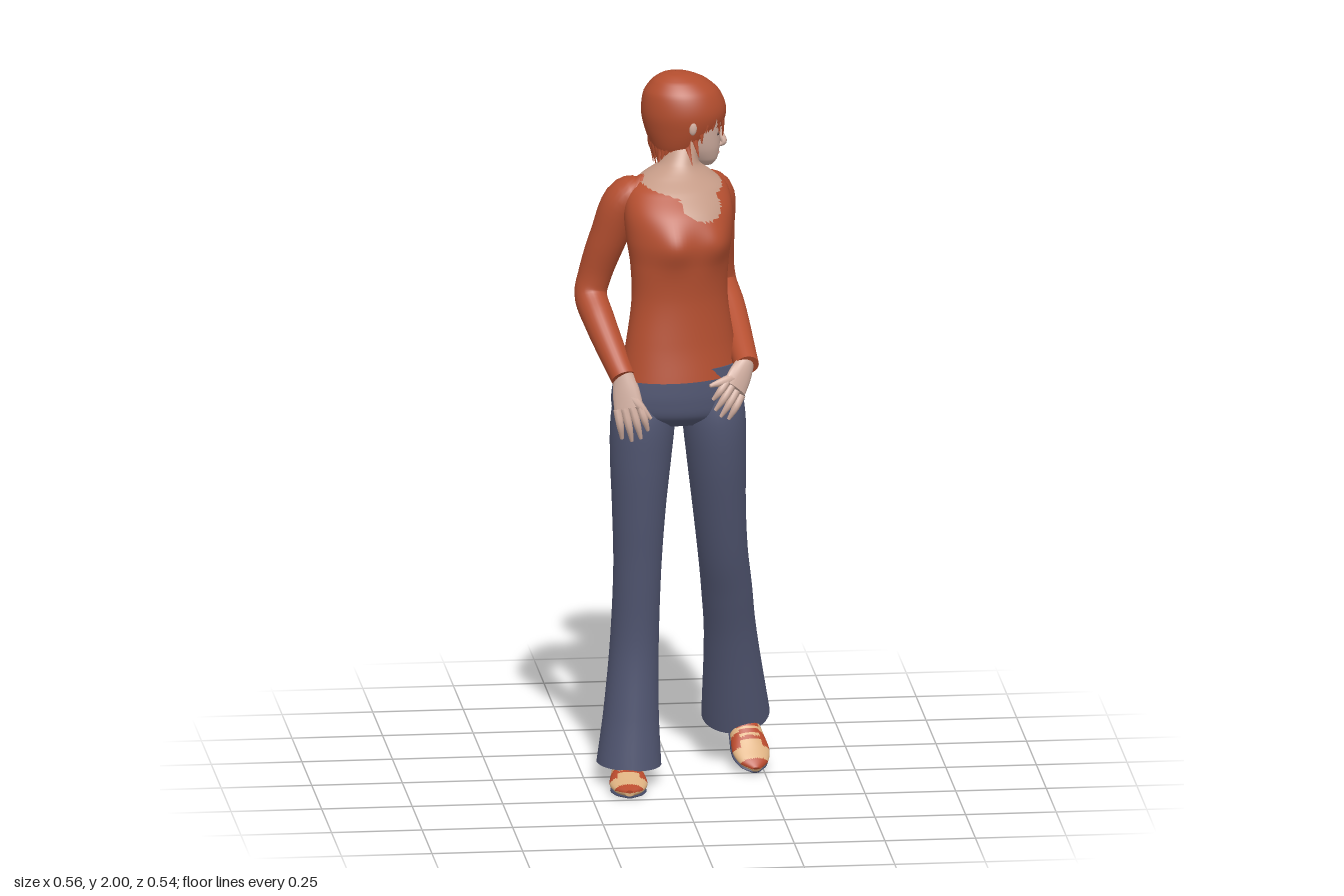
import * as THREE from 'three';

const V = (x, y, z) => new THREE.Vector3(x, y, z);
const mat = (name, color, side = THREE.FrontSide) => {
  const m = new THREE.MeshStandardMaterial({ color, side });
  m.name = name;
  return m;
};

// Lofts ellipses [x, y, z, halfWidth, halfDepth] along a smooth path.
// flat keeps rings level (listed bottom to top), yaw turns them,
// pick(p, angle) chooses a material (-1 leaves a gap).
function loft(name, mats, rings, { segs = 24, steps = 6, flat = false, yaw = 0, axis = null, pick = null, deform = null, caps = true } = {}) {
  const path = new THREE.CatmullRomCurve3(rings.map(r => V(r[0], r[1], r[2])));
  const size = new THREE.CatmullRomCurve3(rings.map(r => V(r[3], r[4], 0)), false, 'catmullrom');
  const rows = (rings.length - 1) * steps, pts = [], list = Array.isArray(mats) ? mats : [mats];
  const faces = list.map(() => []);
  const ref = axis || V(Math.cos(yaw), 0, -Math.sin(yaw));
  for (let j = 0; j <= rows; j++) {
    const c = path.getPoint(j / rows), s = size.getPoint(j / rows);
    const t = flat ? V(0, 1, 0) : path.getTangent(j / rows);
    const u = ref.clone().addScaledVector(t, -ref.dot(t)).normalize();
    const v = u.clone().cross(t);
    for (let i = 0; i < segs; i++) {
      const f = i / segs * Math.PI * 2;
      const p = c.clone().addScaledVector(u, Math.max(s.x, 0.0005) * Math.sin(f)).addScaledVector(v, Math.max(s.y, 0.0005) * Math.cos(f));
      if (deform) deform(p, u, v);
      pts.push(p);
    }
  }
  const add = (a, b, c, f) => {
    const mid = pts[a].clone().add(pts[b]).add(pts[c]).divideScalar(3);
    const k = pick ? pick(mid, f) : 0;
    if (k >= 0) faces[k].push(a, b, c);
  };
  for (let j = 0; j < rows; j++) for (let i = 0; i < segs; i++) {
    const n = (i + 1) % segs, a = j * segs + i, b = j * segs + n, f = (i + 0.5) / segs * Math.PI * 2;
    add(a, b, a + segs, f);
    add(b, b + segs, a + segs, f);
  }
  if (caps) for (const end of [0, 1]) {
    const base = end * rows * segs, start = pts.length;
    for (let i = 0; i < segs; i++) pts.push(pts[base + i].clone());
    pts.push(path.getPoint(end));
    for (let i = 0; i < segs; i++) {
      const a = start + i, b = start + (i + 1) % segs;
      add(start + segs, end ? a : b, end ? b : a, 0);
    }
  }
  const g = new THREE.BufferGeometry().setFromPoints(pts);
  g.setIndex(faces.flat());
  let from = 0;
  faces.forEach((f, k) => { g.addGroup(from, f.length, k); from += f.length; });
  g.computeVertexNormals();
  const mesh = new THREE.Mesh(g, pick ? list : list[0]);
  mesh.name = name;
  return mesh;
}

export function createModel() {
  const model = new THREE.Group();
  model.name = 'standingWoman';
  const hair = mat('hair', 0xb24d2e, THREE.DoubleSide), sweater = mat('sweater', 0xb54f30), jeans = mat('jeans', 0x535874);
  const skin = mat('skin', 0xd3b0a2), chest = mat('chestSkin', 0xc49a86), tan = mat('shoeTan', 0xdcb080);
  const red = mat('shoeRed', 0xb84a2c), sole = mat('sole', 0x454a66), dark = mat('eyes', 0x5c4a46), lip = mat('lips', 0xb88478);

  // Sweater body with a scooped neckline, and neck
  const inside = (p, x, y, z, a, b, c) => ((p.x - x) / a) ** 2 + ((p.y - y) / b) ** 2 + ((p.z - z) / c) ** 2 < 1;
  const neckline = p => p.y > 1.735 || inside(p, 0.01, 1.735, 0.08, 0.118, 0.115, 0.11) && p.z > 0.005
    || inside(p, 0.052, 1.665, 0.165, 0.06, 0.06, 0.07) ? 1 : 0;
  const bust = (p, u, v) => {
    for (const s of [-1, 1]) {
      const c = V(0, 1.565, 0.13).addScaledVector(u, 0.068 * s).addScaledVector(v, 0.1);
      p.addScaledVector(v, 0.022 * Math.exp(-p.distanceToSquared(c) / 0.0032));
    }
  };
  model.add(loft('torso', [sweater, chest], [
    [0, 1.185, 0.14, 0.174, 0.122], [0, 1.28, 0.143, 0.156, 0.104], [0, 1.4, 0.138, 0.138, 0.1],
    [0, 1.5, 0.133, 0.14, 0.11], [0, 1.57, 0.122, 0.15, 0.121], [0, 1.64, 0.1, 0.154, 0.122],
    [0, 1.695, 0.066, 0.142, 0.103], [0, 1.73, 0.05, 0.098, 0.073], [0.008, 1.757, 0.043, 0.056, 0.054],
    [0.018, 1.8, 0.025, 0.045, 0.048], [0.03, 1.86, 0, 0.045, 0.045]
  ], { segs: 80, steps: 8, flat: true, yaw: 0.33, pick: neckline, deform: bust }));

  // Trousers: hips and two flared legs
  model.add(loft('hips', jeans, [
    [0, 1.045, 0.125, 0.12, 0.07], [-0.003, 1.075, 0.127, 0.176, 0.108], [-0.003, 1.12, 0.129, 0.186, 0.118],
    [-0.001, 1.17, 0.132, 0.18, 0.118], [0, 1.215, 0.137, 0.166, 0.113]
  ], { segs: 48, flat: true, yaw: 0.1 }));
  model.add(loft('rightLeg', jeans, [
    [-0.092, 1.14, 0.128, 0.08, 0.1], [-0.1, 1.06, 0.13, 0.088, 0.108], [-0.106, 0.96, 0.128, 0.085, 0.1], [-0.11, 0.8, 0.116, 0.074, 0.085],
    [-0.112, 0.62, 0.095, 0.066, 0.073], [-0.116, 0.4, 0.058, 0.067, 0.078], [-0.124, 0.2, 0.05, 0.076, 0.089], [-0.13, 0.055, 0.05, 0.089, 0.1]
  ], { segs: 32 }));
  model.add(loft('leftLeg', jeans, [
    [0.09, 1.14, 0.125, 0.08, 0.1], [0.096, 1.06, 0.122, 0.087, 0.108], [0.103, 0.96, 0.112, 0.083, 0.1], [0.115, 0.8, 0.08, 0.074, 0.084],
    [0.13, 0.65, 0.038, 0.069, 0.074], [0.146, 0.53, -0.012, 0.07, 0.074], [0.163, 0.38, -0.073, 0.073, 0.078], [0.188, 0.13, -0.17, 0.094, 0.1]
  ], { segs: 32 }));

  // Sleeves
  model.add(loft('rightSleeve', sweater, [
    [-0.06, 1.682, 0.065, 0.03, 0.05], [-0.135, 1.67, 0.068, 0.054, 0.06], [-0.187, 1.55, 0.05, 0.052, 0.053], [-0.222, 1.44, 0.03, 0.046, 0.047],
    [-0.234, 1.385, 0.035, 0.045, 0.046], [-0.215, 1.32, 0.1, 0.043, 0.043], [-0.165, 1.195, 0.228, 0.034, 0.032]
  ], { axis: V(0, 0, 1).cross(V(0, 1, 0)) }));
  model.add(loft('leftSleeve', sweater, [
    [0.065, 1.675, 0.015, 0.03, 0.045], [0.113, 1.655, -0.015, 0.05, 0.056], [0.124, 1.54, -0.05, 0.048, 0.052], [0.13, 1.43, -0.09, 0.045, 0.047],
    [0.138, 1.375, -0.096, 0.045, 0.045], [0.155, 1.325, -0.02, 0.043, 0.043], [0.178, 1.215, 0.205, 0.034, 0.032]
  ]));

  // Hands: palm, four fingers and a thumb
  function hand(name, wrist, knuckle, tip, across, thumb) {
    const g = new THREE.Group();
    g.name = name;
    const ring = (p, a, b) => [p.x, p.y, p.z, a, b];
    const mid = wrist.clone().lerp(knuckle, 0.5);
    g.add(loft('palm', skin, [ring(wrist, 0.026, 0.02), ring(mid, 0.037, 0.018), ring(knuckle, 0.041, 0.014)], { segs: 16, axis: across }));
    for (let i = 0; i < 4; i++) {
      const k = (i - 1.5) * 0.021;
      const a = knuckle.clone().addScaledVector(across, k), b = tip.clone().addScaledVector(across, k * 1.25);
      b.lerp(a, [0.14, 0.02, 0.05, 0.25][i]);
      const m = a.clone().lerp(b, 0.5).add(V(0, 0, 0.008));
      g.add(loft('finger', skin, [ring(a, 0.012, 0.012), ring(m, 0.0105, 0.0105), ring(b, 0.005, 0.005)], { segs: 8, steps: 4, axis: across }));
    }
    const m = mid.clone().lerp(thumb, 0.55).add(V(0, 0, 0.006));
    g.add(loft('thumb', skin, [ring(mid, 0.016, 0.016), ring(m, 0.013, 0.013), ring(thumb, 0.005, 0.005)], { segs: 8, steps: 4, axis: V(0, 0, 1) }));
    model.add(g);
  }
  hand('rightHand', V(-0.165, 1.21, 0.222), V(-0.152, 1.115, 0.246), V(-0.13, 1.02, 0.246), V(0.95, 0.2, 0.22).normalize(), V(-0.092, 1.085, 0.258));
  hand('leftHand', V(0.178, 1.225, 0.195), V(0.14, 1.16, 0.238), V(0.092, 1.09, 0.25), V(-0.66, 0.7, 0.25).normalize(), V(0.07, 1.175, 0.262));

  // Head, turned to its left
  const head = new THREE.Group();
  head.name = 'head';
  model.add(head);
  head.add(loft('face', skin, [
    [0.085, 1.735, -0.003, 0.014, 0.02], [0.075, 1.752, -0.004, 0.036, 0.044], [0.06, 1.785, -0.005, 0.056, 0.066], [0.047, 1.825, -0.006, 0.069, 0.081],
    [0.037, 1.87, -0.008, 0.078, 0.094], [0.028, 1.92, -0.008, 0.08, 0.092], [0.015, 1.97, -0.008, 0.04, 0.05]
  ], { segs: 32, flat: true, yaw: Math.PI / 2 }));
  head.add(loft('nose', skin, [[0.122, 1.84, -0.006, 0.006, 0.006], [0.131, 1.815, -0.006, 0.009, 0.009], [0.137, 1.797, -0.006, 0.013, 0.009], [0.122, 1.787, -0.006, 0.009, 0.005]], { segs: 12, axis: V(0, 0, 1) }));
  const blob = (name, m, x, y, z, sx, sy, sz, turn = 0) => {
    const b = new THREE.Mesh(new THREE.SphereGeometry(1, 16, 10), m);
    b.name = name;
    b.position.set(x, y, z);
    b.scale.set(sx, sy, sz);
    b.rotation.y = turn;
    head.add(b);
  };
  for (const s of [-1, 1]) {
    blob('eye', dark, 0.119, 1.827, -0.006 + s * 0.03, 0.003, 0.004, 0.011, -s * 0.35);
    blob('eyebrow', hair, 0.121, 1.845, -0.007 + s * 0.032, 0.003, 0.002, 0.014, -s * 0.35);
    blob('ear', skin, 0.042, 1.862, -0.008 + s * 0.093, 0.012, 0.022, 0.008);
  }
  blob('mouth', lip, 0.121, 1.769, -0.005, 0.004, 0.005, 0.018);

  // Hair shell with jagged edge around the face
  const edge = f => {
    const a = Math.min(f, Math.PI * 2 - f);
    const s = THREE.MathUtils.smoothstep(a, 0.75, 1.75);
    return 1.862 - 0.085 * s + 0.012 * Math.sin(f * 23) + 0.006 * Math.sin(f * 41);
  };
  head.add(loft('hairCap', [hair], [
    [0.004, 1.755, 0, 0.05, 0.052], [0.014, 1.8, -0.004, 0.078, 0.08], [0.025, 1.85, -0.008, 0.096, 0.108], [0.027, 1.895, -0.009, 0.101, 0.117],
    [0.021, 1.945, -0.009, 0.089, 0.104], [0.014, 1.978, -0.009, 0.062, 0.073], [0.007, 1.995, -0.009, 0.032, 0.038], [0.004, 2, -0.009, 0.001, 0.001]
  ], { segs: 96, flat: true, yaw: Math.PI / 2, caps: false, pick: (p, f) => p.y > edge(f) ? 0 : -1 }));

  // Loose pointed strands around the fringe, sides and nape
  for (let i = 0; i < 34; i++) {
    const f = i / 34 * Math.PI * 2, a = Math.min(f, Math.PI * 2 - f), w = Math.sin(i * 7.3);
    const s = THREE.MathUtils.smoothstep(a, 0.75, 1.75), y = 1.885 - 0.08 * s;
    const r = 1 - 0.22 * s, back = THREE.MathUtils.smoothstep(a, 1.7, 2.6);
    const side = f > Math.PI * 1.2 && f < Math.PI * 1.65 ? 0.3 : 0.08; // nape flicks out on its right
    const out = 1.0 + side * s * (0.6 + 0.4 * w) - 0.2 * back;
    const at = (k, yy, n) => [0.024 - 0.008 * s + Math.cos(f + n) * 0.112 * r * k, yy, -0.008 - Math.sin(f + n) * 0.096 * r * k];
    head.add(loft('hairStrand', hair, [
      [...at(0.95, y + 0.03, 0), 0.012, 0.005], [...at(1.0 - 0.06 * back, y - 0.012, 0.04 * w), 0.009, 0.004], [...at(out, y - 0.052 - 0.016 * w, 0.12 * w), 0.001, 0.001]
    ], { segs: 6, steps: 4, axis: V(Math.sin(f), 0, Math.cos(f)) }));
  }

  // Shoes: tan upper with red bands on a thin dark sole, toe toward +z
  function shoe(name, x, y, z, yaw, pitch) {
    const g = new THREE.Group();
    g.name = name;
    const bands = p => {
      const lace = p.z > 0.12 && p.z < 0.2 && Math.abs(p.x) < 0.03 && (p.z * 50) % 1 < 0.5;
      const toe = p.z > 0.25 && p.y > 0.018, side = p.z > 0.165 && p.z < 0.21 && Math.abs(p.x) > 0.03 && p.y > 0.018;
      return lace || toe || side || p.z < 0.03 ? 1 : 0;
    };
    g.add(loft('upper', [tan, red], [
      [0, 0.034, 0.003, 0.015, 0.025], [0, 0.04, 0.03, 0.036, 0.036], [0, 0.044, 0.1, 0.039, 0.041], [0, 0.034, 0.16, 0.047, 0.031],
      [0, 0.025, 0.21, 0.052, 0.022], [0, 0.019, 0.25, 0.039, 0.016], [0, 0.016, 0.275, 0.012, 0.009]
    ], { segs: 40, steps: 8, pick: bands }));
    g.add(loft('sole', sole, [
      [0, 0.005, 0.006, 0.014, 0.004], [0, 0.005, 0.03, 0.034, 0.005], [0, 0.005, 0.1, 0.036, 0.005],
      [0, 0.005, 0.2, 0.05, 0.005], [0, 0.005, 0.25, 0.037, 0.005], [0, 0.005, 0.272, 0.012, 0.004]
    ], { segs: 20 }));
    g.position.set(x, y, z);
    g.rotation.set(pitch, yaw, 0, 'YXZ');
    model.add(g);
  }
  shoe('rightShoe', -0.132, 0.001, -0.035, -0.06, 0);
  shoe('leftShoe', 0.185, 0.122, -0.235, 0.16, 0.46);
  return model;
}
